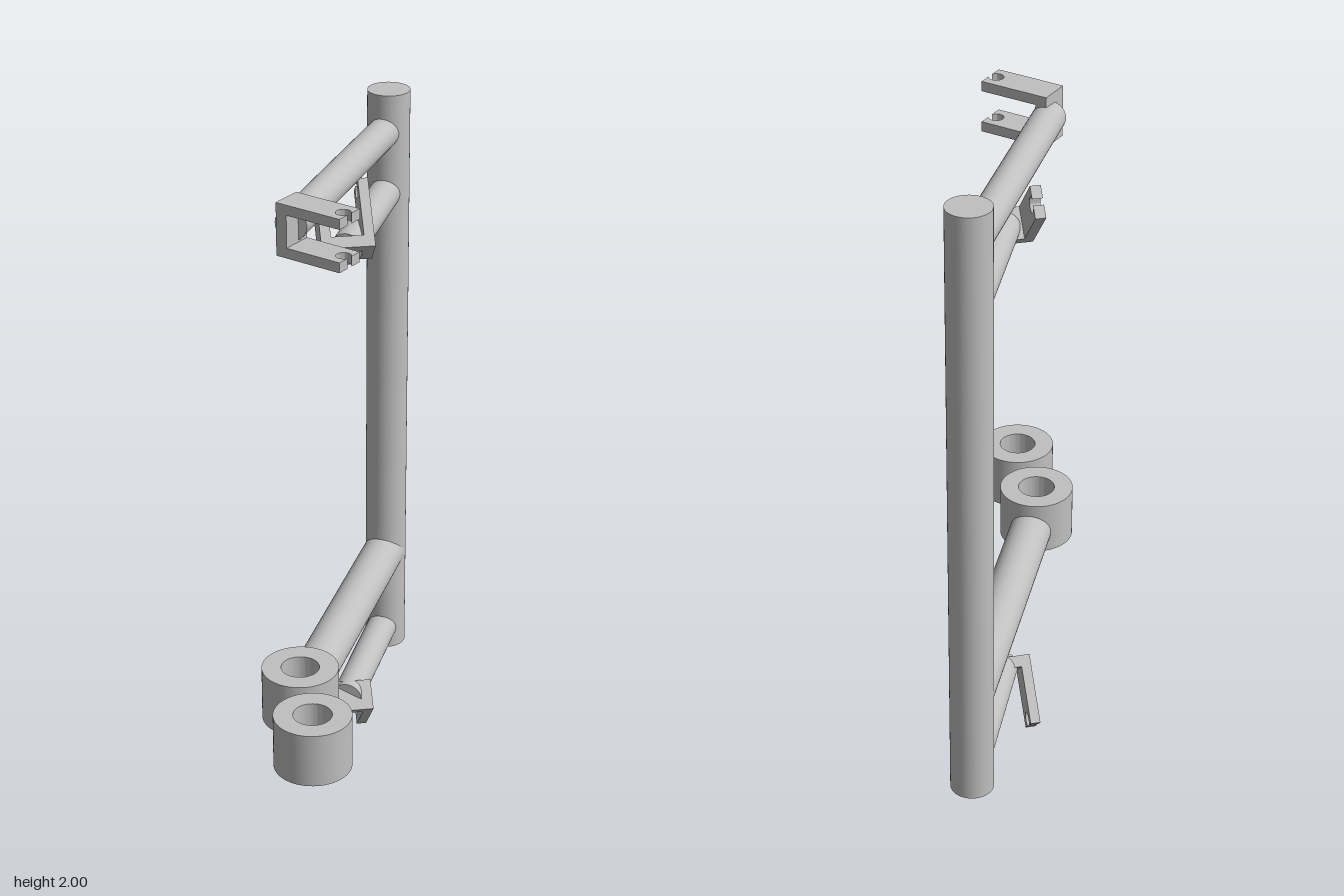
import * as THREE from 'three';
import { toCreasedNormals } from 'three/addons/utils/BufferGeometryUtils.js';

const V = (x, y, z) => new THREE.Vector3(x, y, z);

export function createModel() {
  const model = new THREE.Group();
  model.name = 'bracketFrame';
  const steel = new THREE.MeshStandardMaterial({ color: 0xc0c0c0 });
  steel.name = 'light grey steel';

  const add = (parent, name, geometry) => {
    const mesh = new THREE.Mesh(geometry, steel);
    mesh.name = name;
    parent.add(mesh);
    return mesh;
  };

  // Round bar between two points
  const bar = (name, a, b, radius) => {
    const mesh = add(model, name, new THREE.CylinderGeometry(radius, radius, a.distanceTo(b), 48));
    mesh.position.copy(a).lerp(b, 0.5);
    mesh.quaternion.setFromUnitVectors(V(0, 1, 0), b.clone().sub(a).normalize());
  };

  const extrude = (shape, depth) => toCreasedNormals(
    new THREE.ExtrudeGeometry(shape, { depth, bevelEnabled: false, curveSegments: 32 }), 0.5);

  // Upright post and its arms
  const px = -0.115, pz = -0.6;
  bar('post', V(px, 0.108, pz), V(px, 2, pz), 0.064);
  bar('topArm', V(px, 1.88, pz), V(-0.093, 1.88, 0.213), 0.047);
  bar('upperShortArm', V(px, 1.688, pz), V(-0.058, 1.688, -0.11), 0.047);
  bar('lowerShortArm', V(px, 0.176, pz), V(-0.058, 0.176, -0.11), 0.047);
  bar('ringArm', V(px, 0.445, pz), V(-0.041, 0.445, 0.235), 0.064);

  // Two thick rings joined by a short bar
  const ringShape = new THREE.Shape().absarc(0, 0, 0.113, 0, Math.PI * 2);
  ringShape.holes.push(new THREE.Path().absarc(0, 0, 0.056, 0, Math.PI * 2, true));
  const ringGeometry = extrude(ringShape, 0.167).rotateX(-Math.PI / 2);
  const inner = V(-0.032, 0.445, 0.326), outer = V(0.097, 0.445, 0.548);
  add(model, 'innerRing', ringGeometry).position.set(inner.x, 0.38, inner.z);
  add(model, 'outerRing', ringGeometry).position.set(outer.x, 0.38, outer.z);
  bar('ringLink', inner.clone().lerp(outer, 0.34), inner.clone().lerp(outer, 0.66), 0.064);

  // Clip: a web with two notched prongs, long axis x, gap along z
  const length = 0.211, width = 0.094, height = 0.155, web = 0.035, plate = 0.03;
  const r = 0.022, inset = 0.02, mouth = Math.acos(inset / r);
  const prongShape = new THREE.Shape();
  prongShape.moveTo(web, -width / 2);
  prongShape.lineTo(length, -width / 2);
  prongShape.absarc(length - inset, 0, r, -mouth, mouth, true);
  prongShape.lineTo(length, width / 2);
  prongShape.lineTo(web, width / 2);
  prongShape.closePath();
  const prongGeometry = extrude(prongShape, plate);
  const webGeometry = new THREE.BoxGeometry(web, width, height).translate(web / 2, 0, 0);

  const clip = (name, origin, along, across) => {
    const group = new THREE.Group();
    group.name = name;
    add(group, 'web', webGeometry);
    add(group, 'prongA', prongGeometry).position.z = height / 2 - plate;
    add(group, 'prongB', prongGeometry).position.z = -height / 2;
    const x = along.normalize(), z = across.normalize();
    const y = z.clone().cross(x);
    group.quaternion.setFromRotationMatrix(new THREE.Matrix4().makeBasis(x, y, z));
    group.position.copy(origin);
    model.add(group);
  };

  clip('topClip', V(-0.107, 1.88, 0.211), V(0.97, 0, 0.24), V(0, 1, 0));
  // Slanted clips, mirrored up and down
  const c = Math.cos(Math.PI / 6), s = 0.5;
  for (const [name, y, dir] of [['upperClip', 1.677, 1], ['lowerClip', 0.187, -1]]) {
    clip(name, V(-0.053, y, -0.103), V(-s, dir, -c), V(c, 0, -s));
  }
  return model;
}
